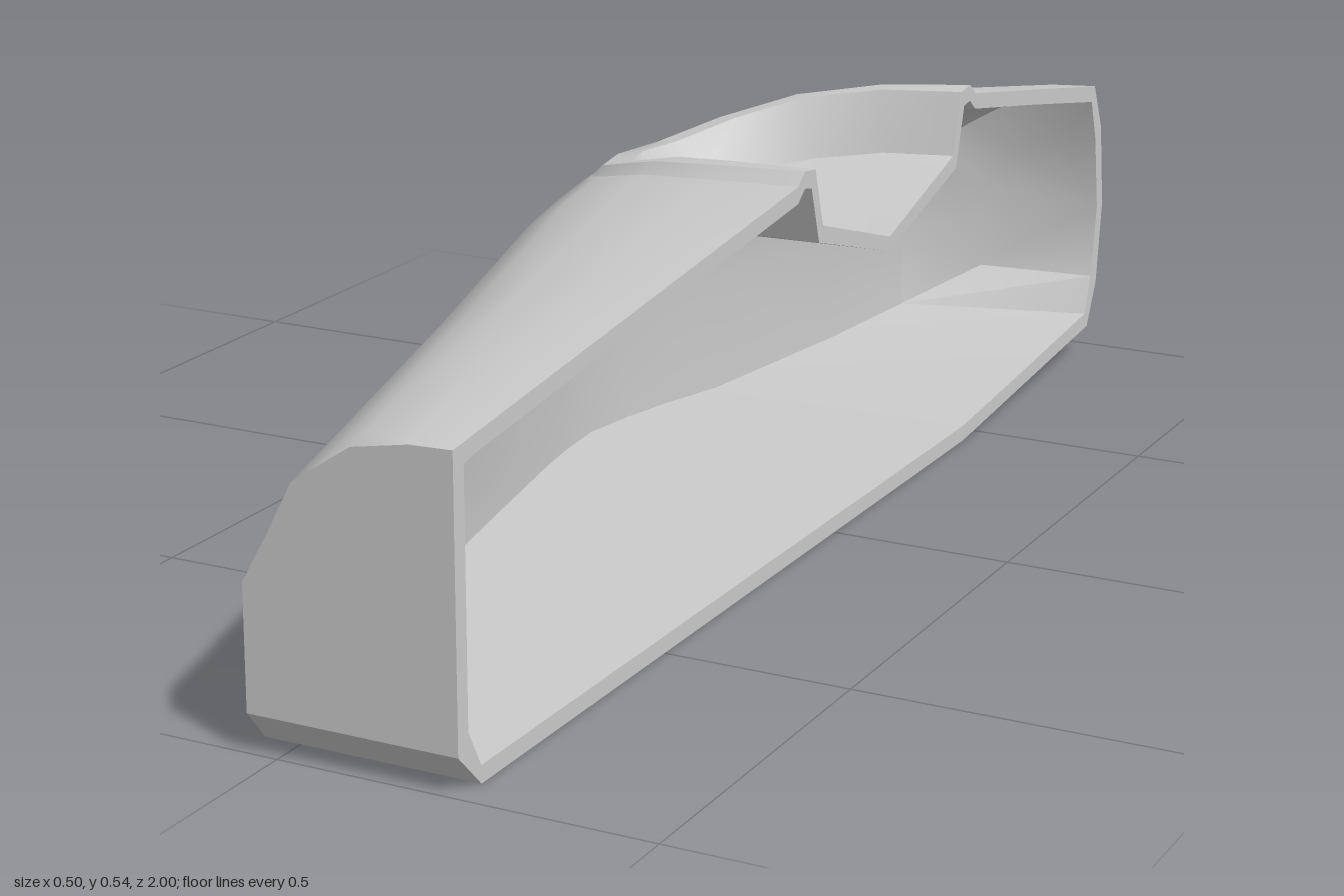
import * as THREE from 'three';
import { toCreasedNormals } from 'three/addons/utils/BufferGeometryUtils.js';

const CUT = 0.245;   // x of the open lengthwise cut
const MID = -0.17;   // z of the well centre
const WALL = 0.023;  // shell thickness
const SEG = 10;      // sides of the half-oval well

// Piecewise linear lookup; keys run from high to low
function lookup(table, k) {
  for (let i = 1; i < table.length; i++) {
    const [a, va] = table[i - 1], [b, vb] = table[i];
    if (k >= b) return va + (vb - va) * Math.min(1, Math.max(0, (a - k) / (a - b)));
  }
  return table[table.length - 1][1];
}

// Hull rules along z: width from the cut, top height, bottom height, slimness of the section
const WIDTH = [[1, 0.285], [0, 0.475], [-0.1, 0.49], [-0.17, 0.495], [-0.3, 0.475], [-0.87, 0.305], [-0.95, 0.305]];
const TOP = [[1, 0.415], [0.125, 0.515], [-0.17, 0.535], [-0.46, 0.522], [-0.95, 0.435]];
const BOTTOM = [[1, 0.05], [0.95, 0], [-0.45, 0], [-0.95, 0.045]];
const BLEND = [[1, 1], [0.1, 0], [-0.4, 0], [-0.95, 0.6]];

// Shoulder sections as fractions of width and height, for the end and the middle
const END = [[1, 0.51], [0.87, 0.67], [0.75, 0.83], [0.61, 0.895], [0.47, 0.96], [0.2, 0.995], [0, 1]];
const MIDDLE = [[1, 0.39], [0.965, 0.66], [0.9, 0.8], [0.78, 0.87], [0.58, 0.94], [0.27, 0.985], [0, 1]];

// One cross-section, bottom centre to top; stops at the rim where x reaches rimX
function section(z, t, rimX = CUT) {
  const w = lookup(WIDTH, z) - t, top = lookup(TOP, z) - t;
  const b = lookup(BOTTOM, z) + t, k = lookup(BLEND, z);
  const shoulder = MIDDLE.map(([u, v], i) => [u + (END[i][0] - u) * k, v + (END[i][1] - v) * k]);
  const limit = (CUT - rimX) / w;
  const points = [[0, b], [1, b]];
  for (const [u, v] of shoulder) {
    points.push(u >= limit ? [u, v * top] : [limit, lookup(shoulder, limit) * top]);
  }
  return points.map(([u, y]) => new THREE.Vector3(CUT - u * w, y, z));
}

const ovalPoint = (a, rx, rz) => [CUT - rx * Math.sin(a), MID + rz * Math.cos(a)];

// Hull rows from the front face to the rounded stern
function hullRows(t) {
  const rows = [1, 0.95, 0.5].map((z) => section(z, t));
  rows[0].forEach((p) => { p.z = 1 - t; });
  const rim = [];
  for (let i = 0; i <= SEG; i++) {
    const [x, z] = ovalPoint(Math.PI * i / SEG, 0.44, 0.295);
    const row = section(z, t, x);
    rim.push(row[row.length - 1]);
    rows.push(row);
  }
  rows.push(section(-0.7, t));
  const stern = section(-0.95, t);
  const w = CUT - stern[1].x;
  const curve = (p) => (CUT - p.x) / w;
  stern.forEach((p) => { p.z = -0.95 + 0.08 * curve(p) ** 2 + t * 0.5; });
  const inner = stern.map((p) => new THREE.Vector3(
    CUT - 0.64 * (CUT - p.x), 0.23 + (p.y - 0.23) * 0.65, -0.983 + 0.018 * curve(p) + t));
  const tip = stern.map(() => new THREE.Vector3(CUT, 0.235, -1 + t));
  rows.push(stern, inner, tip);
  rows.unshift(rows[0].map((p) => new THREE.Vector3(CUT, p.y, p.z)));
  return { rows, rim };
}

// Well rows: hull edge, raised lip, lip inside, floor edge, floor centre
function wellRows(rim, t) {
  const grow = t * 0.5;
  const ring = (rx, rz, height) => rim.map((p, i) => {
    const a = Math.PI * i / SEG;
    const [x, z] = ovalPoint(a, rx, rz);
    return new THREE.Vector3(x, height(p, Math.sin(a)), z);
  });
  return [
    rim,
    ring(0.425, 0.275, (p) => p.y + 0.016),
    ring(0.385 + grow, 0.243 + grow, (p, s) => p.y + 0.012 + 0.012 * s),
    ring(0.34 + grow, 0.218 + grow, (p, s) => 0.445 - 0.05 * s * s - t * 0.9),
    rim.map(() => new THREE.Vector3(CUT, 0.378 - t * 0.9, MID)),
  ];
}

// Skin over rows of points, leaving out empty triangles
function skin(rows, flip = false) {
  const out = [];
  const tri = (a, b, c) => {
    const area = b.clone().sub(a).cross(c.clone().sub(a)).length();
    if (area < 1e-8) return;
    for (const p of flip ? [a, c, b] : [a, b, c]) out.push(p.x, p.y, p.z);
  };
  for (let i = 0; i + 1 < rows.length; i++) {
    for (let j = 0; j + 1 < rows[i].length; j++) {
      const a = rows[i][j], b = rows[i][j + 1], c = rows[i + 1][j], d = rows[i + 1][j + 1];
      tri(a, b, c);
      tri(b, d, c);
    }
  }
  const g = new THREE.BufferGeometry();
  g.setAttribute('position', new THREE.Float32BufferAttribute(out, 3));
  return toCreasedNormals(g, 0.62);
}

export function createModel() {
  const group = new THREE.Group();
  const material = new THREE.MeshStandardMaterial({ color: 0xcccccc, side: THREE.DoubleSide });
  const add = (name, geometry) => {
    const mesh = new THREE.Mesh(geometry, material);
    mesh.name = name;
    group.add(mesh);
  };

  // Outer and inner skins of hull and well
  const [outer, inner] = [0, WALL].map((t) => {
    const { rows, rim } = hullRows(t);
    return { hull: rows, well: wellRows(rim, t) };
  });
  add('outerHull', skin(outer.hull));
  add('innerHull', skin(inner.hull, true));
  add('cockpitWell', skin(outer.well, true));
  add('cockpitUnderside', skin(inner.well));

  // Cut edge joining the two skins along the open side
  const last = (r) => r[r.length - 1];
  const rimStart = 4, rimEnd = rimStart + SEG;
  const edges = ({ hull, well }) => [
    hull[0],
    hull.slice(1).map((r) => r[0]),
    hull.slice(1, rimStart + 1).map(last),
    hull.slice(rimEnd).map(last),
    well.map((r) => r[0]),
    well.map(last),
  ];
  const innerEdges = edges(inner);
  const flips = [true, false, true, true, true, false];
  edges(outer).forEach((edge, i) => add('cutEdge', skin([edge, innerEdges[i]], flips[i])));
  return group;
}
